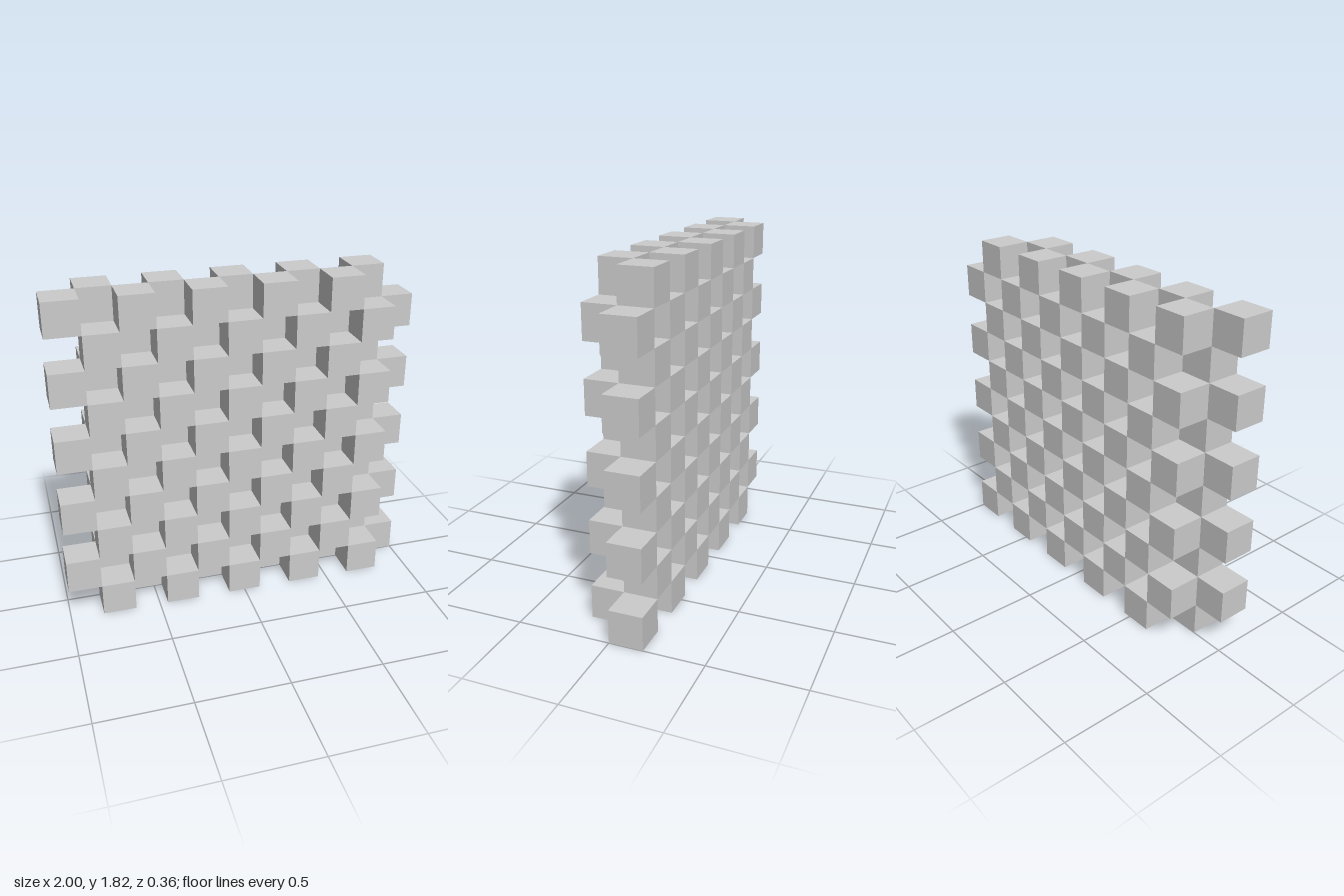
import * as THREE from 'three';

const COUNT = 10;            // rows, and columns per layer
const SIZE = 2 / (COUNT + 1); // cube edge

export function createModel() {
  const model = new THREE.Group();
  model.name = 'checkerLattice';
  const material = new THREE.MeshStandardMaterial({ color: 0xcccccc, flatShading: true });
  const cube = new THREE.BoxGeometry(SIZE, SIZE, SIZE);

  // One checkerboard layer of cubes, starting at a given column
  function addLayer(name, firstColumn, parity, z) {
    const layer = new THREE.Group();
    layer.name = name;
    for (let row = 0; row < COUNT; row++) {
      for (let col = firstColumn; col < firstColumn + COUNT; col++) {
        if ((row + col) % 2 !== parity) continue;
        const mesh = new THREE.Mesh(cube, material);
        mesh.name = 'cube';
        mesh.position.set(-1 + (col + 0.5) * SIZE, (row + 0.5) * SIZE, z);
        layer.add(mesh);
      }
    }
    model.add(layer);
  }

  // The back layer fills the gaps of the front one and is shifted one column
  addLayer('frontLayer', 0, 1, SIZE / 2);
  addLayer('backLayer', 1, 0, -SIZE / 2);
  return model;
}
